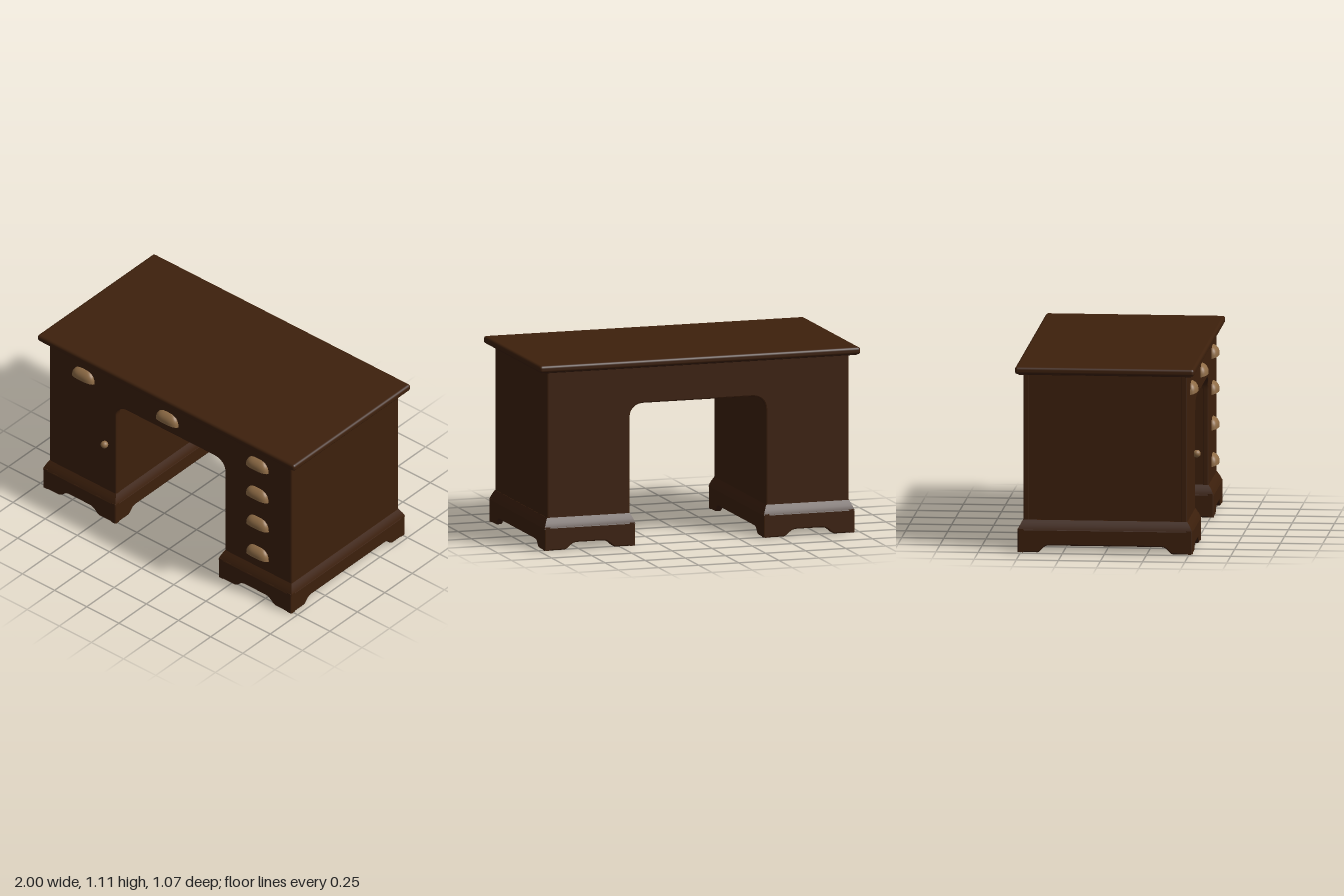
import * as THREE from 'three';
import { toCreasedNormals } from 'three/addons/utils/BufferGeometryUtils.js';
import { RoundedBoxGeometry } from 'three/addons/geometries/RoundedBoxGeometry.js';

const wood = new THREE.MeshStandardMaterial({ color: 0x3d200c });
wood.name = 'dark wood';
const brass = new THREE.MeshStandardMaterial({ color: 0x8f6c46, side: THREE.DoubleSide });
brass.name = 'aged brass';

function add(parent, name, geometry, material, x = 0, y = 0, z = 0) {
  const mesh = new THREE.Mesh(geometry, material);
  mesh.name = name;
  mesh.position.set(x, y, z);
  parent.add(mesh);
  return mesh;
}

// Extrudes a shape along z, centred, with slightly softened edges
function slab(shape, depth, bevel) {
  const g = new THREE.ExtrudeGeometry(shape, {
    depth: depth - 2 * bevel, bevelEnabled: true, bevelThickness: bevel,
    bevelSize: bevel, bevelOffset: -bevel, bevelSegments: 2, curveSegments: 10,
  });
  g.translate(0, 0, -(depth - 2 * bevel) / 2);
  return toCreasedNormals(g, 0.3);
}

// Face board: both pedestal fronts and the arched apron in one outline
function faceGeometry() {
  const s = new THREE.Shape();
  s.moveTo(-0.94, 0.15);
  s.lineTo(-0.424, 0.15);
  s.lineTo(-0.424, 0.765);
  s.bezierCurveTo(-0.424, 0.815, -0.39, 0.848, -0.335, 0.848);
  s.lineTo(0.335, 0.848);
  s.bezierCurveTo(0.39, 0.848, 0.424, 0.815, 0.424, 0.765);
  s.lineTo(0.424, 0.15);
  s.lineTo(0.94, 0.15);
  s.lineTo(0.94, 1.072);
  s.lineTo(-0.94, 1.072);
  s.closePath();
  return slab(s, 0.04, 0.008);
}

// Plinth board with a foot at each end and an ogee rise between them
function boardGeometry(width, foot, ramp) {
  const h = width / 2, rise = 0.042, a = h - foot, b = a - ramp;
  const s = new THREE.Shape();
  s.moveTo(-h, 0);
  s.lineTo(-a, 0);
  s.bezierCurveTo(-a + ramp * 0.4, 0.008, -b - ramp * 0.6, rise, -b, rise);
  s.lineTo(b, rise);
  s.bezierCurveTo(b + ramp * 0.6, rise, a - ramp * 0.4, 0.008, a, 0);
  s.lineTo(h, 0);
  s.lineTo(h, 0.14);
  s.lineTo(-h, 0.14);
  s.closePath();
  return slab(s, 0.04, 0.008);
}

// Sloping moulding that narrows from the plinth to the pedestal
function mouldingGeometry(w, h, d) {
  const g = new THREE.BoxGeometry(w, h, d, 1, 4, 1);
  const p = g.attributes.position;
  for (let i = 0; i < p.count; i++) {
    const t = Math.pow(THREE.MathUtils.clamp(p.getY(i) / h + 0.5, 0, 1), 1.3);
    p.setX(i, p.getX(i) - Math.sign(p.getX(i)) * 0.025 * t);
    p.setZ(i, p.getZ(i) - Math.sign(p.getZ(i)) * 0.032 * t);
  }
  return toCreasedNormals(g, 0.5);
}

// Hollow plinth of four boards; the moulding closes it above
function plinth(name, x) {
  const g = new THREE.Group();
  g.name = name;
  g.position.x = x;
  const w = 0.566, d = 1.038;
  for (const s of [-1, 1]) {
    add(g, 'plinthEndBoard', boardGeometry(w, 0.125, 0.085), wood, 0, 0, s * (d / 2 - 0.02));
    add(g, 'plinthSideBoard', boardGeometry(d, 0.118, 0.07), wood, s * (w / 2 - 0.02))
      .rotation.y = Math.PI / 2;
  }
  add(g, 'plinthMoulding', mouldingGeometry(w, 0.062, d), wood, 0, 0.161);
  return g;
}

// Cup pull: a squared-off, forward-sloping quarter shell, open underneath
function cupGeometry() {
  const g = new THREE.SphereGeometry(1, 24, 10, 0, Math.PI, 0, Math.PI / 2);
  const p = g.attributes.position;
  for (let i = 0; i < p.count; i++) {
    const x = p.getX(i), y = Math.max(p.getY(i), 0), z = Math.max(p.getZ(i), 0);
    const lift = 0.012 * z * (1 - y);
    p.setXYZ(i,
      Math.sign(x) * Math.pow(Math.abs(x), 0.7) * 0.082,
      Math.pow(y, 0.8) * 0.074 + lift,
      Math.pow(z, 0.8) * Math.pow(Math.max(1 - y * y, 0), 0.3) * 0.041);
  }
  g.computeVertexNormals();
  return g;
}

export function createModel() {
  const desk = new THREE.Group();
  desk.name = 'desk';

  // Front and back face boards, with the pedestals and bridge between
  for (const s of [-1, 1]) {
    add(desk, s > 0 ? 'frontFace' : 'backFace', faceGeometry(), wood, 0, 0, s * 0.467);
    add(desk, s > 0 ? 'leftPedestal' : 'rightPedestal',
      new THREE.BoxGeometry(0.514, 0.922, 0.954), wood, s * 0.682, 0.611);
    desk.add(plinth(s > 0 ? 'leftPlinth' : 'rightPlinth', s * 0.683));
  }
  add(desk, 'bridge', new THREE.BoxGeometry(0.87, 0.192, 0.954), wood, 0, 0.976);

  // Top with a rounded edge and a narrow lip below
  add(desk, 'top', new RoundedBoxGeometry(2, 0.044, 1.066, 4, 0.017), wood, 0, 1.092);
  add(desk, 'topLip', new RoundedBoxGeometry(1.965, 0.022, 1.03, 2, 0.006), wood, 0, 1.076);

  // Drawer pulls: one per top drawer, then three down the left pedestal
  const cup = cupGeometry();
  const pulls = [[-0.672, 0.922], [-0.02, 0.92], [0.68, 0.918], [0.68, 0.702], [0.682, 0.488], [0.682, 0.27]];
  for (const [x, y] of pulls) add(desk, 'drawerPull', cup, brass, x, y, 0.486);

  // Door knob on the right pedestal
  add(desk, 'doorKnob', new THREE.SphereGeometry(0.023, 16, 12), brass, -0.5, 0.53, 0.503);
  const stem = add(desk, 'knobStem', new THREE.CylinderGeometry(0.01, 0.012, 0.02, 12), brass, -0.5, 0.53, 0.49);
  stem.rotation.x = Math.PI / 2;

  return desk;
}
